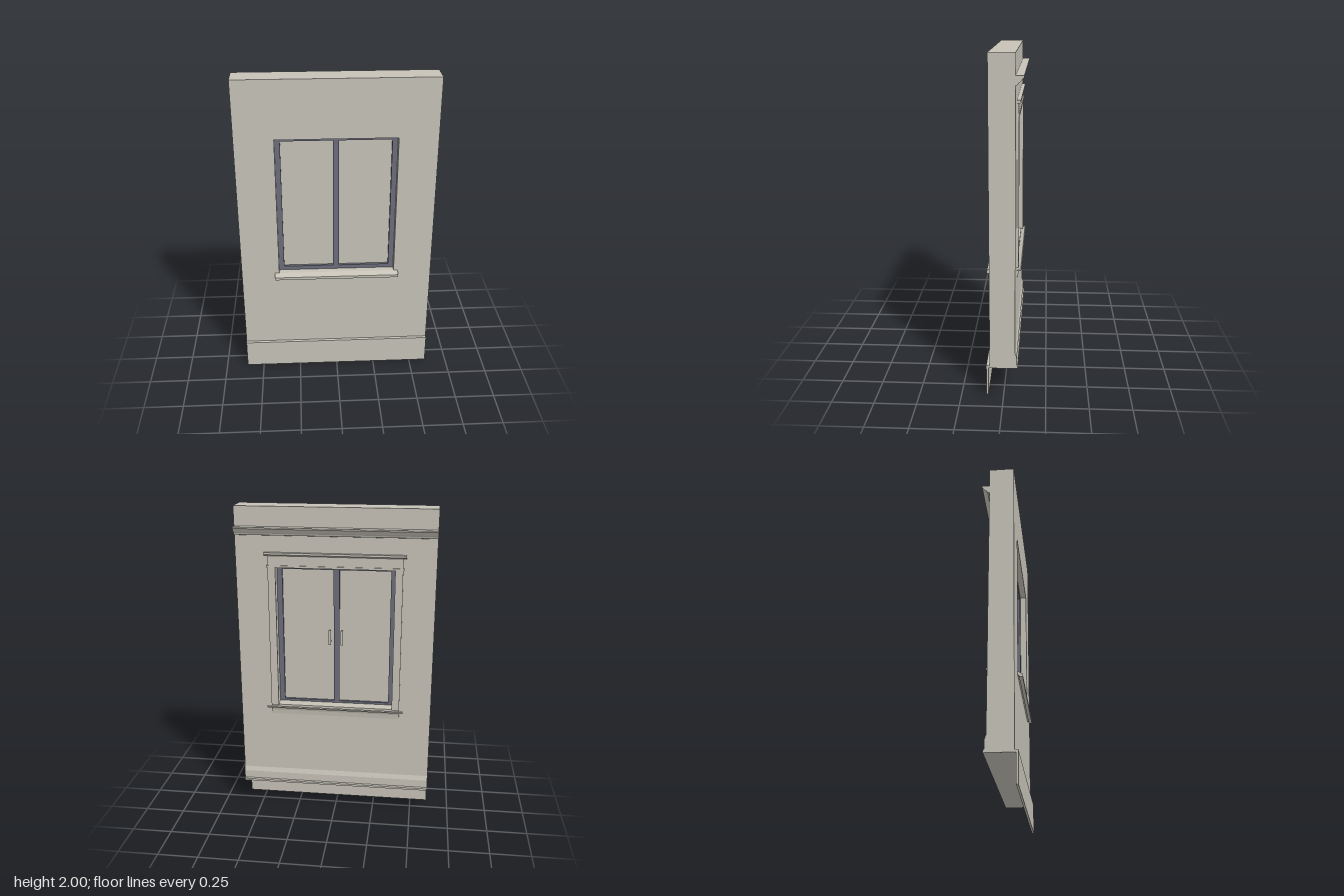
import * as THREE from 'three';

export function createModel() {
  const model = new THREE.Group();
  model.name = 'wallWithWindow';

  const plaster = new THREE.MeshStandardMaterial({ color: 0xc6c2b7 });
  plaster.name = 'warm grey plaster';
  const metal = new THREE.MeshStandardMaterial({ color: 0x6b6d7b });
  metal.name = 'slate window frame';

  const add = (name, geometry, material, parent = model) => {
    const mesh = new THREE.Mesh(geometry, material);
    mesh.name = name;
    parent.add(mesh);
    return mesh;
  };

  // Box given by its limits on each axis
  const box = (name, [x0, x1], [y0, y1], [z0, z1], material = plaster, parent = model) => {
    const g = new THREE.BoxGeometry(x1 - x0, y1 - y0, z1 - z0);
    g.translate((x0 + x1) / 2, (y0 + y1) / 2, (z0 + z1) / 2);
    return add(name, g, material, parent);
  };

  // Moulding: a [z, y] profile swept along x, centred on x = 0
  const moulding = (name, halfWidth, profile, parent = model) => {
    const shape = new THREE.Shape(profile.map(([z, y]) => new THREE.Vector2(z, y)));
    const g = new THREE.ExtrudeGeometry(shape, { depth: halfWidth * 2, bevelEnabled: false });
    g.translate(0, 0, -halfWidth);
    g.rotateY(-Math.PI / 2);
    return add(name, g, plaster, parent);
  };

  const W = 0.61, FRONT = 0.083, BACK = -0.067;
  const OX = 0.37, OY0 = 0.72, OY1 = 1.635;

  const rect = (Type, x0, x1, y0, y1) => new Type([
    new THREE.Vector2(x0, y0), new THREE.Vector2(x1, y0),
    new THREE.Vector2(x1, y1), new THREE.Vector2(x0, y1),
  ]);

  // Wall with the window opening
  const wallShape = rect(THREE.Shape, -W, W, 0.17, 2);
  wallShape.holes.push(rect(THREE.Path, -OX, OX, OY0, OY1));
  const wallGeo = new THREE.ExtrudeGeometry(wallShape, { depth: FRONT - BACK, bevelEnabled: false });
  wallGeo.translate(0, 0, BACK);
  add('wall', wallGeo, plaster);

  // Outer skirting board hanging below the wall
  moulding('outerSkirting', W, [
    [FRONT, 0.17], [0.09, 0.17], [0.09, 0], [0.103, 0], [0.103, 0.185], [FRONT, 0.185],
  ]);

  // Outer sloping sill
  moulding('outerSill', 0.397, [
    [FRONT, 0.696], [0.092, 0.696], [0.092, 0.684], [0.113, 0.684], [0.113, 0.702], [FRONT, 0.72],
  ]);

  // Inner crown moulding and baseboard
  moulding('crownMoulding', W, [
    [BACK, 1.88], [-0.113, 1.88], [-0.113, 1.872], [-0.104, 1.862],
    [-0.096, 1.85], [-0.082, 1.84], [-0.078, 1.83], [BACK, 1.827],
  ]);
  moulding('baseboard', W, [
    [BACK, 0.27], [-0.072, 0.255], [-0.077, 0.24], [-0.077, 0.19],
    [-0.083, 0.183], [-0.083, 0.17], [BACK, 0.17],
  ]);

  // Inner window casing
  const casing = new THREE.Group();
  casing.name = 'innerCasing';
  model.add(casing);
  for (const s of [-1, 1]) {
    const jamb = box('sideCasing', [-0.0235, 0.0235], [0.73, 1.64], [-0.079, BACK], plaster, casing);
    jamb.position.x = s * 0.3875;
  }
  box('headCasing', [-0.411, 0.411], [1.645, 1.71], [-0.078, BACK], plaster, casing);
  box('headBead', [-0.417, 0.417], [1.635, 1.648], [-0.083, BACK], plaster, casing);
  moulding('headCap', 0.43, [
    [BACK, 1.727], [-0.09, 1.727], [-0.09, 1.715], [-0.083, 1.707], [BACK, 1.707],
  ], casing);
  moulding('stool', 0.435, [
    [0.005, 0.732], [-0.092, 0.732], [-0.096, 0.726], [-0.092, 0.716], [BACK, 0.716], [BACK, 0.72], [0.005, 0.72],
  ].map(([z, y]) => [Math.min(z, BACK), y]).slice(1, 6), casing);
  box('innerSill', [-OX, OX], [OY0, 0.732], [BACK, 0.005], plaster, casing);
  moulding('apron', 0.411, [
    [BACK, 0.716], [-0.084, 0.716], [-0.078, 0.7], [-0.074, 0.67], [BACK, 0.67],
  ], casing);

  // Window frame, mullion and panes
  const windowUnit = new THREE.Group();
  windowUnit.name = 'window';
  model.add(windowUnit);
  const Z = [0.005, 0.043];
  box('leftStile', [0.337, OX], [OY0, OY1], Z, metal, windowUnit);
  box('rightStile', [-OX, -0.337], [OY0, OY1], Z, metal, windowUnit);
  box('bottomRail', [-0.337, 0.337], [OY0, 0.746], Z, metal, windowUnit);
  box('topRail', [-0.337, 0.337], [1.61, OY1], Z, metal, windowUnit);
  box('mullion', [-0.02, 0.016], [0.746, 1.61], Z, metal, windowUnit);
  box('leftPane', [0.016, 0.337], [0.746, 1.61], [0.019, 0.026], plaster, windowUnit);
  box('rightPane', [-0.337, -0.02], [0.746, 1.61], [0.019, 0.026], plaster, windowUnit);

  // Pull handles on the inner side of each pane
  for (const s of [-1, 1]) {
    const handle = new THREE.Group();
    handle.name = s > 0 ? 'leftHandle' : 'rightHandle';
    handle.position.x = s * 0.038;
    windowUnit.add(handle);
    box('grip', [-0.007, 0.007], [1.135, 1.23], [-0.024, -0.014], plaster, handle);
    for (const y of [1.15, 1.215]) {
      box('standoff', [-0.004, 0.004], [y - 0.005, y + 0.005], [-0.014, 0.019], plaster, handle);
    }
  }

  return model;
}
